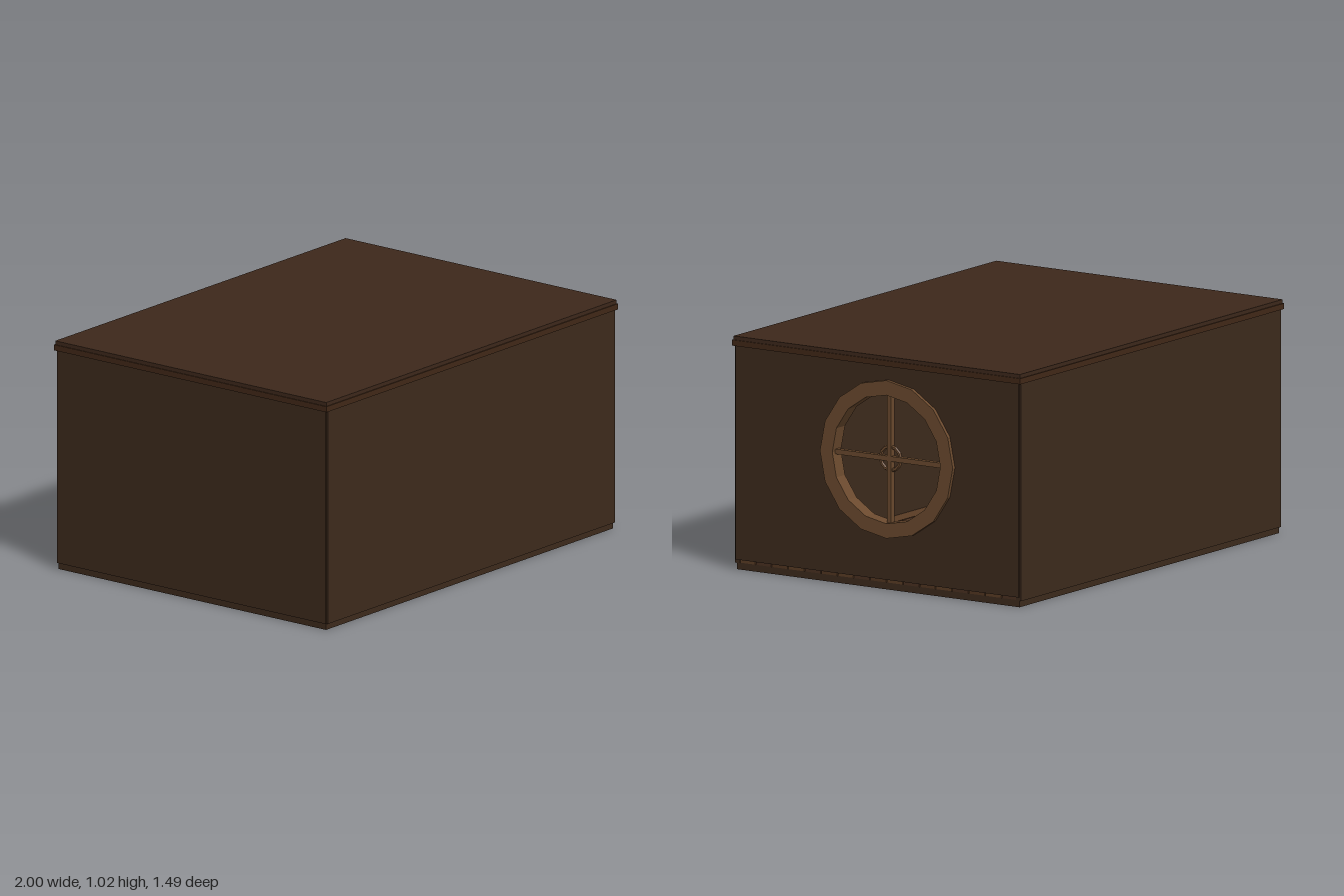
import * as THREE from 'three';

const mat = (color) => new THREE.MeshStandardMaterial({ color, flatShading: true });
const wallWood = mat(0x3d2a1c);
const roofWood = mat(0x3d281b);
const trimWood = mat(0x412817);
const frameWood = mat(0x6b4a2e);
const plankWoods = [mat(0x4a3020), mat(0x5a3c24), mat(0x523620)];
const iron = mat(0x22262a);
const steel = mat(0x3c4146);

// Window centre in the right-hand wall
const WY = 0.572, WZ = -0.06, OUTER = 0.344, INNER = 0.28;

export function createModel() {
  const room = new THREE.Group();
  room.name = 'cabinRoom';

  const add = (name, geometry, material, parent = room) => {
    const mesh = new THREE.Mesh(geometry, material);
    mesh.name = name;
    parent.add(mesh);
    return mesh;
  };
  // Box given by its minimum and maximum on each axis
  const box = (name, x0, x1, y0, y1, z0, z1, material, parent) => {
    const mesh = add(name, new THREE.BoxGeometry(x1 - x0, y1 - y0, z1 - z0), material, parent);
    mesh.position.set((x0 + x1) / 2, (y0 + y1) / 2, (z0 + z1) / 2);
    return mesh;
  };
  const group = (name) => {
    const g = new THREE.Group();
    g.name = name;
    room.add(g);
    return g;
  };
  const polygonPath = (radius, sides, cx = 0, cy = 0) => Array.from({ length: sides }, (_, i) => {
    const a = (i / sides) * Math.PI * 2;
    return new THREE.Vector2(cx + radius * Math.cos(a), cy + radius * Math.sin(a));
  });
  // Extrude a shape drawn as (-z, y) along +x
  const extrudeX = (shape, depth) =>
    new THREE.ExtrudeGeometry(shape, { depth, bevelEnabled: false }).rotateY(Math.PI / 2);

  // Shell
  box('floorSlab', -0.985, 0.973, 0, 0.03, -0.732, 0.732, wallWood);
  box('roof', -0.996, 0.985, 0.98, 1.017, -0.742, 0.742, roofWood);
  for (const s of [1, -1]) {
    box(s > 0 ? 'frontWall' : 'backWall', -0.985, 0.975, 0.028, 0.985,
      Math.min(s * 0.715, s * 0.742), Math.max(s * 0.715, s * 0.742), wallWood);
  }
  box('rightWall', -0.992, -0.965, 0.028, 0.985, -0.735, 0.735, wallWood);

  // Wall with the round window opening
  const wall = new THREE.Shape();
  wall.moveTo(-0.733, 0.044).lineTo(0.733, 0.044).lineTo(0.733, 0.985).lineTo(-0.733, 0.985).closePath();
  wall.holes.push(new THREE.Path(polygonPath(INNER + 0.02, 16, -WZ, WY).reverse()));
  add('windowWall', extrudeX(wall, 0.03), wallWood).position.x = 0.953;

  // Moulding round the top of the walls
  const crown = group('crownMoulding');
  for (const s of [1, -1]) {
    box('longMoulding', -1, 0.99, 0.975, 1.0, s * 0.734 - 0.013, s * 0.734 + 0.013, trimWood, crown);
    const x = s > 0 ? 0.977 : -0.987;
    box('sideMoulding', x - 0.013, x + 0.013, 0.975, 1.0, -0.746, 0.746, trimWood, crown);
  }

  // Round window: frame, crossbars and centre ring
  const win = group('roundWindow');
  win.position.set(0, WY, WZ);
  const frame = new THREE.Shape(polygonPath(OUTER, 16));
  frame.holes.push(new THREE.Path(polygonPath(INNER, 16).reverse()));
  add('windowFrame', extrudeX(frame, 0.065), frameWood, win).position.x = 0.935;
  box('horizontalBar', 0.955, 0.98, -0.011, 0.011, -0.28, 0.28, frameWood, win);
  box('verticalBar', 0.955, 0.98, -0.28, 0.28, -0.011, 0.011, frameWood, win);
  const ring = add('centreRing', new THREE.TorusGeometry(0.052, 0.009, 6, 12), frameWood, win);
  ring.rotation.y = Math.PI / 2;
  ring.position.x = 0.967;

  // Floorboards running the length of the room
  const floor = group('floorboards');
  for (let i = 0; i < 17; i++) {
    const z = (i - 8) * 0.085;
    box('floorboard', -0.965, 0.973, 0.03, 0.042, z - 0.04, z + 0.04, plankWoods[i % 3], floor);
  }

  // Vertical boards lining the far wall
  const lining = group('wallBoards');
  for (let i = 0; i < 16; i++) {
    const z = (i - 7.5) * 0.089;
    box('wallBoard', -0.965, -0.95 + (i % 2) * 0.005, 0.042, 0.98, z - 0.042, z + 0.042,
      plankWoods[(i * 2) % 3], lining);
  }

  // Ceiling beams and a central post
  const beams = group('ceilingBeams');
  for (let i = 0; i < 4; i++) {
    const x = -0.72 + i * 0.48;
    box('ceilingBeam', x - 0.03, x + 0.03, 0.92, 0.98, -0.715, 0.715, wallWood, beams);
  }
  box('post', -0.93, -0.84, 0.042, 0.98, -0.11, -0.02, plankWoods[1]);

  // Stove with its flue
  const stove = group('stove');
  box('stoveBody', -0.93, -0.72, 0.06, 0.33, 0.02, 0.22, iron, stove);
  box('stoveTop', -0.94, -0.71, 0.33, 0.345, 0.01, 0.23, steel, stove);
  box('pot', -0.79, -0.73, 0.345, 0.4, 0.06, 0.13, steel, stove);
  const flue = add('flue', new THREE.CylinderGeometry(0.042, 0.042, 0.64, 8), iron, stove);
  flue.position.set(-0.86, 0.66, 0.075);

  return room;
}
